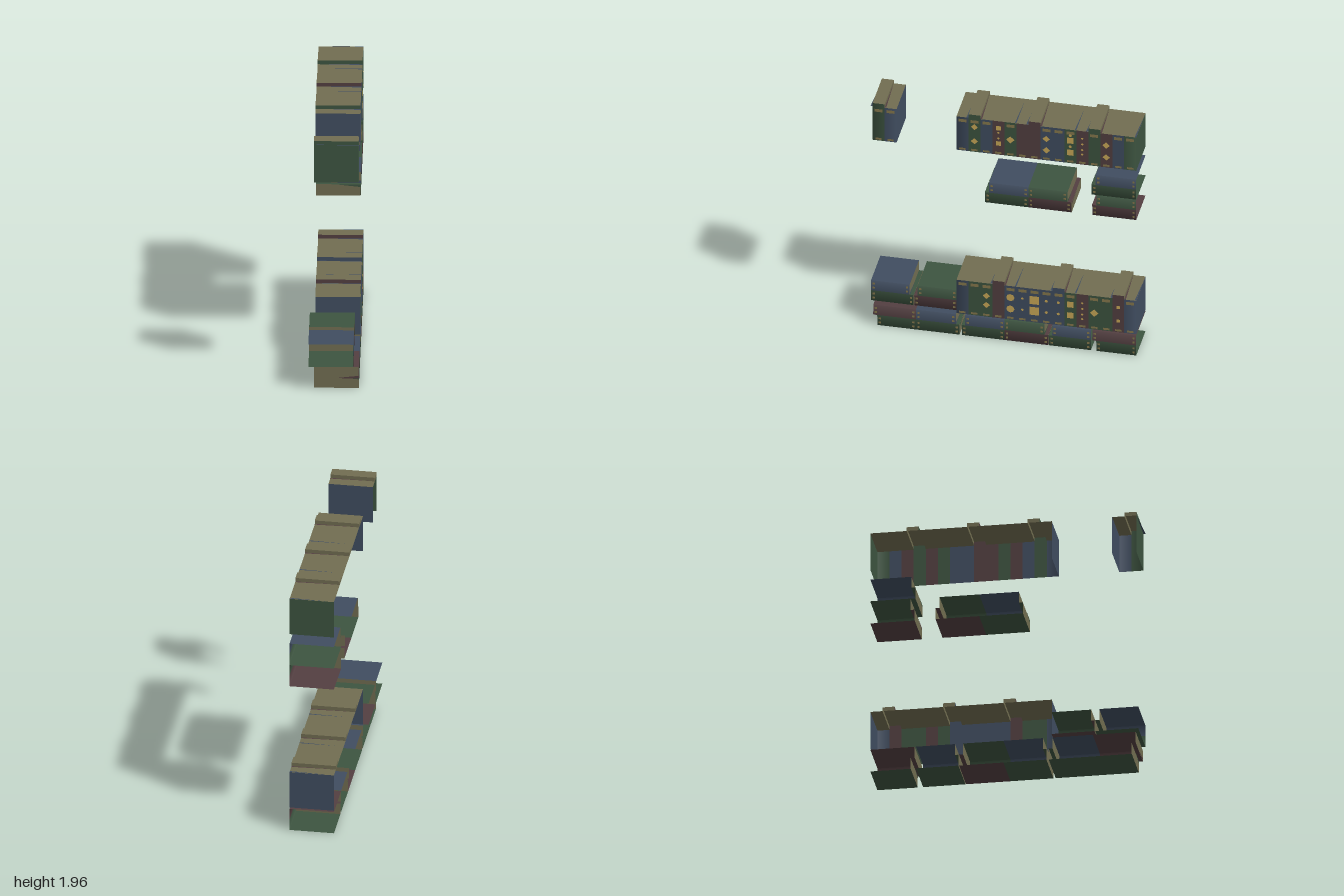
import * as THREE from 'three';

// Books are open shells, so every sheet shows from both sides
const flat = (name, color) => {
  const m = new THREE.MeshStandardMaterial({ color, side: THREE.DoubleSide });
  m.name = name;
  return m;
};
const MAT = {
  n: flat('navy', 0x404d60),
  g: flat('green', 0x3d5440),
  m: flat('maroon', 0x533f41),
  p: flat('paper', 0x716d51),
  gold: flat('gold', 0xcbaa58),
  dull: flat('dullGold', 0x88794d),
};

// Axis-aligned rectangle. Planes: x -> (z, y), y -> (x, z), z -> (x, y).
// bend tilts the normals on one edge so that the edge shades as rounded.
function rect(parent, name, mat, axis, sign, at, u, v, bend) {
  const geo = new THREE.PlaneGeometry(u[1] - u[0], v[1] - v[0]);
  const uc = (u[0] + u[1]) / 2, vc = (v[0] + v[1]) / 2;
  const centre = new THREE.Vector3();
  if (axis === 'x') { geo.rotateY(sign * Math.PI / 2); centre.set(at, vc, uc); }
  if (axis === 'y') { geo.rotateX(-sign * Math.PI / 2); centre.set(uc, at, vc); }
  if (axis === 'z') { if (sign < 0) geo.rotateY(Math.PI); centre.set(uc, vc, at); }
  if (bend) {
    const p = new THREE.Vector3(), n = new THREE.Vector3();
    for (let i = 0; i < 4; i++) {
      p.fromBufferAttribute(geo.attributes.position, i);
      if (p.dot(bend) <= 0) continue;
      n.fromBufferAttribute(geo.attributes.normal, i).add(bend).normalize();
      geo.attributes.normal.setXYZ(i, n.x, n.y, n.z);
    }
  }
  geo.translate(centre.x, centre.y, centre.z);
  const mesh = new THREE.Mesh(geo, mat);
  mesh.name = name;
  parent.add(mesh);
}

// Sliver of cover widening towards the spine, where the pages round off
function sliver(parent, mat, ...corners) {
  const geo = new THREE.BufferGeometry();
  geo.setAttribute('position', new THREE.Float32BufferAttribute(corners.flat(), 3));
  geo.computeVertexNormals();
  const mesh = new THREE.Mesh(geo, mat);
  mesh.name = 'coverSliver';
  parent.add(mesh);
}

// Small gilt ornament on a spine: diamond, square or round
function ornament(parent, kind, x, y, z, r) {
  const geo = new THREE.CircleGeometry(r, kind === 'round' ? 8 : 4);
  if (kind === 'square') geo.rotateZ(Math.PI / 4);
  const mesh = new THREE.Mesh(geo, MAT.gold);
  mesh.name = 'spineOrnament';
  mesh.rotation.y = Math.PI / 2;
  mesh.position.set(x + 0.003, y, z);
  parent.add(mesh);
}

const X0 = -0.145, X1 = 0.185, W = 0.09;

// Row of upright books, spines towards +x, from zStart towards -z
function uprightRow(name, zStart, y0, y1, colours, raised, marks) {
  const g = new THREE.Group();
  g.name = name;
  const last = colours.length - 1, zEnd = zStart - W * colours.length;
  [...colours].forEach((c, i) => {
    const zb = zStart - W * i, za = zb - W, zc = zb - W / 2;
    const up = raised.includes(i), top = up ? y1 + 0.03 : y1;
    const bend = i === 0 ? new THREE.Vector3(0, 0, 0.8)
      : i === last ? new THREE.Vector3(0, 0, -1) : null;
    rect(g, 'spine', MAT[c], 'x', 1, X1, [za, zb], [y0, top], bend);
    rect(g, 'pageTop', MAT.p, 'y', 1, top, [X0, X1], [za, zb]);
    if (up) {
      rect(g, 'raisedFront', MAT[c], 'z', 1, zb, [X0, X1], [y1, top]);
      rect(g, 'raisedBack', MAT.p, 'z', -1, za, [X0, X1], [y1, top]);
      rect(g, 'raisedPages', MAT.p, 'x', -1, X0, [za, zb], [y1, top]);
      sliver(g, MAT.n, [X0, y1 + 0.002, zb], [X1, y1 + 0.002, zb + 0.016], [X1, y1 + 0.002, zb]);
      sliver(g, MAT.m, [X0, y1 + 0.002, za], [X1, y1 + 0.002, za], [X1, y1 + 0.002, za - 0.012]);
    } else if (i % 5 === 4) {
      sliver(g, MAT.n, [X0 + 0.05, y1 + 0.002, za], [X1, y1 + 0.002, za + 0.012], [X1, y1 + 0.002, za]);
    }
    // worn gilding at head and foot
    if (c !== 'm') rect(g, 'headBand', MAT.dull, 'x', 1, X1 + 0.002, [zc - 0.03, zc + 0.03], [y1 - 0.042, y1 - 0.017]);
    rect(g, 'footBand', MAT.dull, 'x', 1, X1 + 0.002, [zc - 0.024, zc + 0.024], [y0 + 0.008, y0 + 0.025]);
  });
  rect(g, 'frontCover', MAT[colours[0]], 'z', 1, zStart, [X0, X1], [y0, raised.includes(0) ? y1 + 0.03 : y1]);
  rect(g, 'backCover', MAT[colours[last]], 'z', -1, zEnd, [X0, X1], [y0, y1]);
  for (const [i, kind, r, ...ys] of marks) {
    for (const y of ys) ornament(g, kind, X1, y0 + y, zStart - W * (i + 0.5), r);
  }
  return g;
}

// Two layers of lying books. Each layer: z positions from front to back, one colour per book.
function lyingPair(name, y, dx, upper, lower, frontClosed, backClosed) {
  const g = new THREE.Group();
  g.name = name;
  const x = [X0 + dx, X1 + dx], mid = y + 0.088, top = y + 0.176;
  const layers = [[upper, mid, top, 1], [lower, y, mid, -1]];
  for (const [{ z, c }, a, b, dir] of layers) {
    [...c].forEach((col, i) => {
      const span = [z[i + 1], z[i]];
      rect(g, 'spine', MAT[col], 'x', 1, x[1], span, [a, b], new THREE.Vector3(0, dir * (dir > 0 ? 0.6 : 1.2), 0));
      rect(g, 'cover', MAT[col], 'y', dir, dir > 0 ? b : a, x, span);
      // small gilt dots at both ends of the spine
      for (const e of [span[0] + 0.02, span[1] - 0.02]) {
        for (const h of [a + 0.026, b - 0.026]) {
          rect(g, 'endDot', MAT.dull, 'x', 1, x[1] + 0.002, [e - 0.009, e + 0.009], [h - 0.008, h + 0.008]);
        }
      }
    });
    const ends = [[frontClosed, z[0], 1, c[0]], [backClosed, z.at(-1), -1, c.at(-1)]];
    for (const [closed, at, sign, col] of ends) {
      if (!closed) continue;
      rect(g, 'pageEnd', MAT.p, 'z', sign, at, x, [a, b]);
      const edge = at + sign * 0.002, foot = dir > 0 ? a : b;
      sliver(g, MAT[col], [x[0] + 0.15, foot, edge], [x[1], foot, edge], [x[1], foot + dir * 0.02, edge]);
    }
  }
  // ledges where one layer is longer than the other
  const ends = [[upper.z[0], lower.z[0], 0], [upper.z.at(-1), lower.z.at(-1), -1]];
  for (const [u, l, k] of ends) {
    if (u === l) continue;
    const lowerLonger = k === 0 ? l > u : l < u;
    const col = (lowerLonger ? lower : upper).c.at(k);
    rect(g, 'ledge', MAT[col], 'y', lowerLonger ? 1 : -1, mid, x, [Math.min(u, l), Math.max(u, l)]);
  }
  return g;
}

export function createModel() {
  const model = new THREE.Group();
  model.name = 'shelvedBooks';
  const layer = (c, ...z) => ({ c, z });

  // Upper shelf
  model.add(
    uprightRow('upperRow', 0.35, 1.635, 1.93, 'ngnmgmmnngmgmng', [1, 6, 11], [
      [1, 'diamond', 0.027, 0.22, 0.095], [3, 'square', 0.027, 0.235, 0.1], [3, 'round', 0.009, 0.195, 0.145],
      [4, 'diamond', 0.031, 0.145], [7, 'diamond', 0.028, 0.19, 0.09],
      [9, 'square', 0.036, 0.2, 0.095], [9, 'round', 0.012, 0.245, 0.147],
      [10, 'round', 0.009, 0.23, 0.18, 0.13, 0.09],
      [12, 'diamond', 0.028, 0.195, 0.09],
    ]),
    uprightRow('upperPair', 0.98, 1.635, 1.93, 'gn', [0], []),
  );

  // Middle shelf
  model.add(
    lyingPair('middleStack', 1.2, 0, layer('ng', 0.105, -0.19, -0.485), layer('gm', 0.135, -0.19, -0.515), true, true),
    lyingPair('cornerStackLow', 1.2, 0, layer('g', -0.7, -1), layer('m', -0.67, -1), true, false),
    lyingPair('cornerStackHigh', 1.38, 0, layer('n', -0.695, -1), layer('g', -0.665, -1), true, false),
  );

  // Bottom shelf
  model.add(
    lyingPair('baseFront', 0, 0, layer('mn', 0.975, 0.655, 0.355), layer('gg', 0.945, 0.655, 0.327), true, true),
    lyingPair('baseMiddle', 0, 0, layer('ng', 0.285, -0.01, -0.31), layer('gm', 0.31, -0.01, -0.34), true, true),
    lyingPair('baseRear', 0, 0, layer('n', -0.37, -0.66), layer('g', -0.345, -0.66), true, false),
    lyingPair('baseEnd', 0, 0, layer('m', -0.67, -1), layer('g', -0.7, -1), true, false),
    lyingPair('secondLayerFront', 0.186, -0.04, layer('n', 1, 0.71), layer('g', 1, 0.68), false, true),
    lyingPair('secondLayerRear', 0.186, -0.04, layer('g', 0.65, 0.355), layer('m', 0.675, 0.355), true, false),
    uprightRow('lowerRow', 0.35, 0.188, 0.483, 'nggmnnnnngmggmn', [3, 8, 13], [
      [2, 'diamond', 0.027, 0.185, 0.105], [4, 'round', 0.031, 0.195, 0.095],
      [5, 'round', 0.01, 0.2, 0.1], [6, 'square', 0.05, 0.195, 0.1],
      [7, 'round', 0.012, 0.2, 0.1], [8, 'round', 0.012, 0.2, 0.1],
      [9, 'square', 0.036, 0.195, 0.1], [10, 'round', 0.009, 0.22, 0.17, 0.12, 0.08],
      [11, 'diamond', 0.032, 0.145], [13, 'square', 0.018, 0.22, 0.1],
    ]),
  );
  return model;
}
